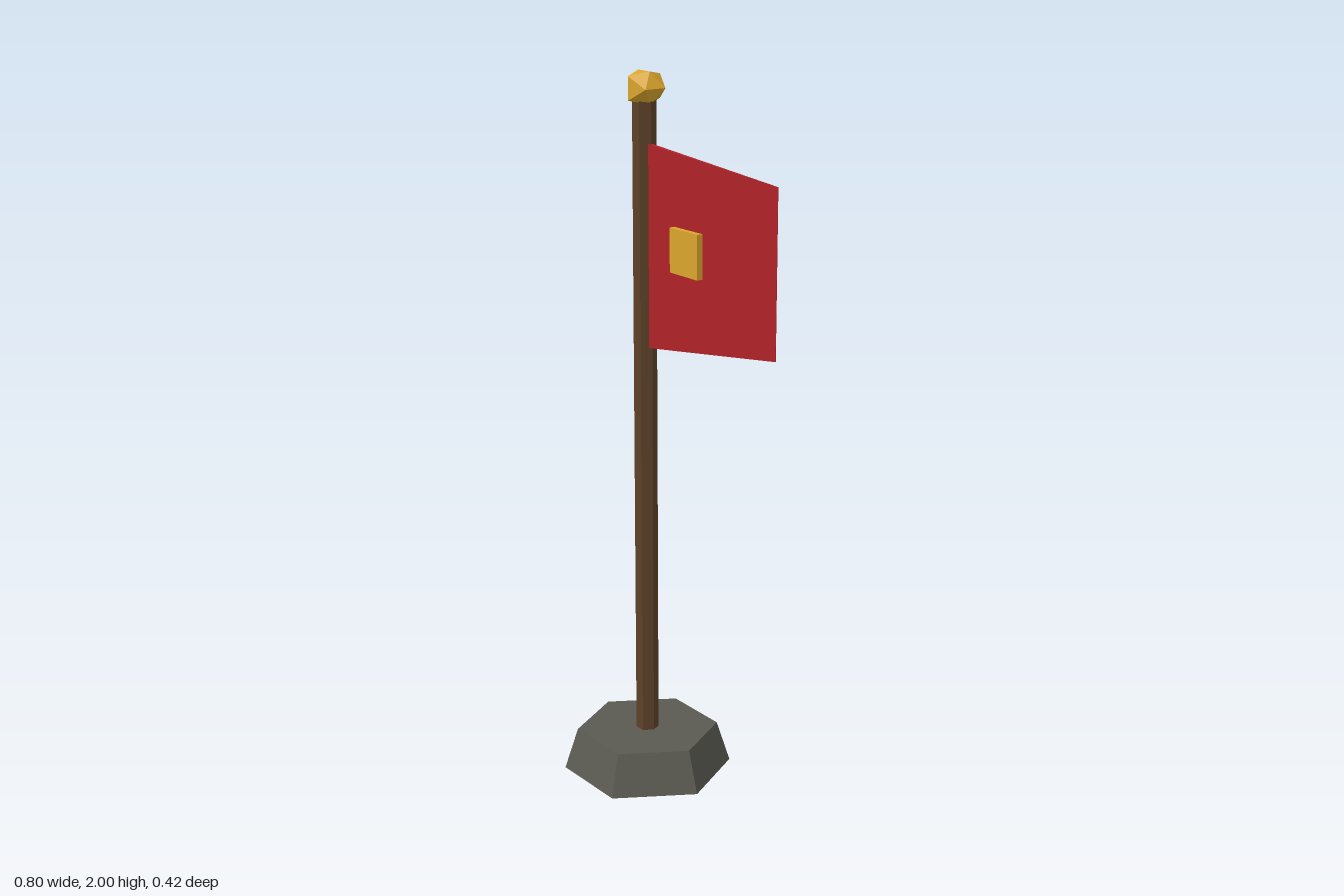
import * as THREE from 'three';

const POLE_X = -0.162;

function addPart(group, name, geometry, color, x, y, z) {
  const material = new THREE.MeshStandardMaterial({ color, flatShading: true });
  const mesh = new THREE.Mesh(geometry, material);
  mesh.name = name;
  mesh.position.set(x, y, z);
  group.add(mesh);
}

// Move every vertex of a geometry by a rule
function reshape(geometry, rule) {
  const pos = geometry.attributes.position;
  const v = new THREE.Vector3();
  for (let i = 0; i < pos.count; i++) {
    rule(v.fromBufferAttribute(pos, i));
    pos.setXYZ(i, v.x, v.y, v.z);
  }
  geometry.computeVertexNormals();
  return geometry;
}

export function createModel() {
  const group = new THREE.Group();
  group.name = 'flagOnPole';

  // Tapered hexagonal stone foot, corners pointing along x
  const foot = new THREE.CylinderGeometry(0.202, 0.24, 0.12, 6).rotateY(Math.PI / 6);
  addPart(group, 'base', foot, 0x5a5a52, POLE_X, 0.06, 0);

  // Hexagonal wooden pole
  const pole = new THREE.CylinderGeometry(0.032, 0.032, 1.925, 6).rotateY(Math.PI / 6);
  addPart(group, 'pole', pole, 0x5c4028, POLE_X, 0.9625, 0);

  // Faceted knob, slightly flattened and uneven
  const knob = reshape(new THREE.IcosahedronGeometry(0.0605, 0), (v) => {
    if (Math.abs(v.y) > 0.04) v.multiplyScalar(0.83);
    else if (v.x < -0.04 && v.z > 0.02) v.multiplyScalar(0.76);
  });
  addPart(group, 'finial', knob, 0xdaa52c, POLE_X, 1.957, 0);

  // Cloth, narrowing in height and thickness towards its free edge
  const cloth = reshape(new THREE.BoxGeometry(1, 1, 1), (v) => {
    const free = v.x > 0;
    const [top, bottom] = free ? [1.775, 1.335] : [1.811, 1.257];
    v.set(free ? 0.4 : -0.14, v.y > 0 ? top : bottom, v.z * (free ? 0.001 : 0.015));
  });
  addPart(group, 'flag', cloth, 0xb02226, 0, 0, 0);

  // Square patch on the front of the cloth
  addPart(group, 'patch', new THREE.BoxGeometry(0.12, 0.12, 0.017), 0xdaa52c, 0.04, 1.55, 0.0125);

  return group;
}
